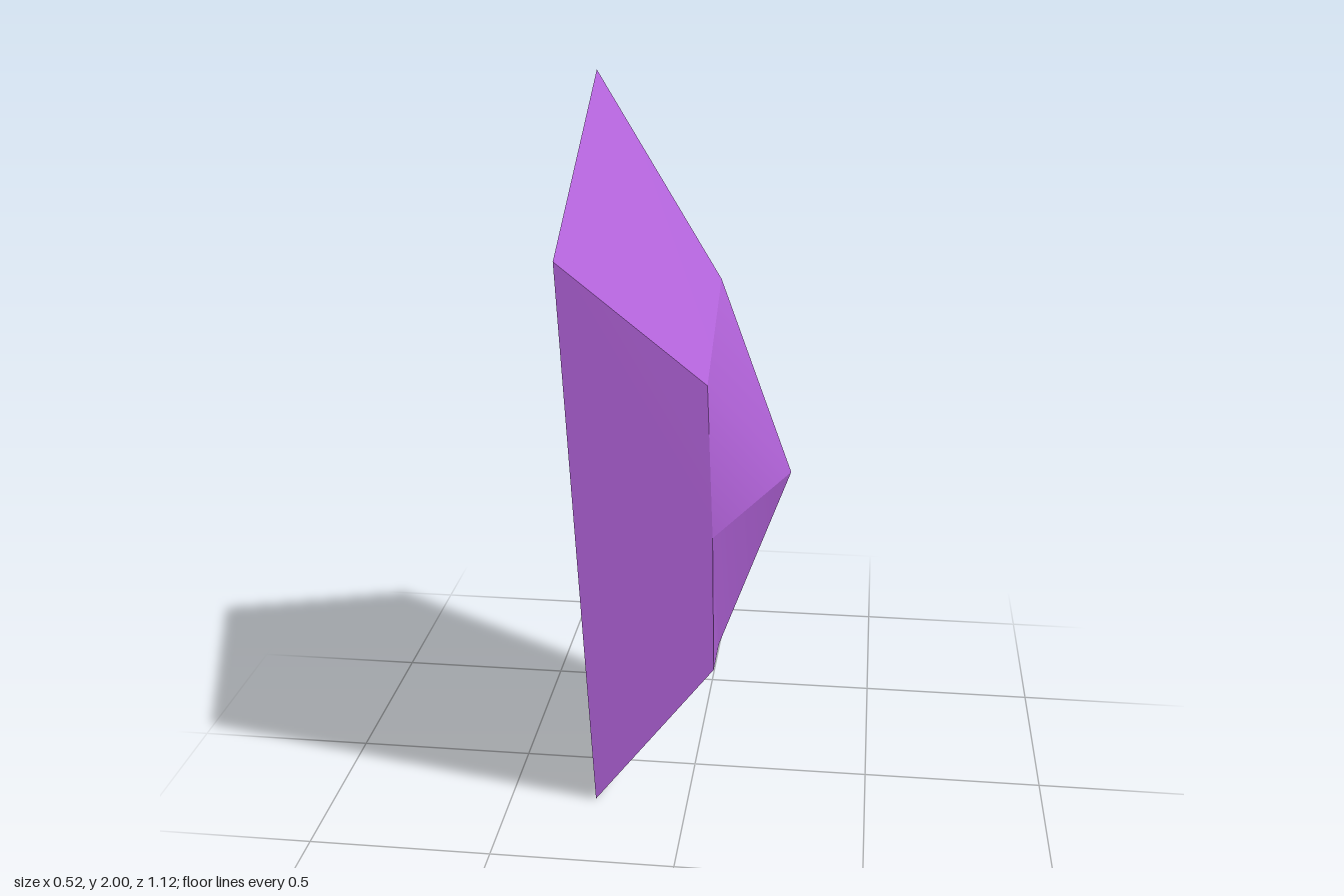
import * as THREE from 'three';
import { mergeGeometries } from 'three/addons/utils/BufferGeometryUtils.js';

// Corner points of the cut stone: [x, y, z]
const BACK = -0.26, GIRDLE = 0.063, MID = 0.068;
const P = {
  // outline of the flat back
  top: [BACK, 2, -0.07], left: [BACK, 1.66, 0.56], lowLeft: [BACK, 0, 0.21],
  lowRight: [BACK, 0, -0.48], right: [BACK, 1.21, -0.555],
  // smaller ring around the crown
  cTop: [GIRDLE, 1.46, -0.07], cLeft: [GIRDLE, 1.28, 0.28], cMidLeft: [MID, 0.82, 0.185],
  cLowLeft: [GIRDLE, 0.37, 0.09], cLow: [GIRDLE, 0.37, -0.065], cLowRight: [GIRDLE, 0.37, -0.295],
  cMidRight: [MID, 0.715, -0.31], cRight: [GIRDLE, 1.03, -0.335],
  // peak of the crown
  apex: [0.26, 0.915, -0.07],
};

// One facet as a fan from its first corner; corners run counter-clockwise
function facet(names) {
  const geometry = new THREE.BufferGeometry();
  geometry.setAttribute('position', new THREE.Float32BufferAttribute(names.flatMap((n) => P[n]), 3));
  const index = [];
  for (let i = 1; i < names.length - 1; i++) index.push(0, i, i + 1);
  geometry.setIndex(index);
  geometry.computeVertexNormals();
  return geometry;
}

export function createModel() {
  const group = new THREE.Group();
  group.name = 'crystal';
  const material = new THREE.MeshStandardMaterial({ color: 0xb464dc });

  const parts = {
    // facets around the peak
    crown: [
      ['cLeft', 'cMidLeft', 'apex', 'cTop'],
      ['cMidLeft', 'cLowLeft', 'cLow', 'apex'],
      ['apex', 'cLow', 'cLowRight', 'cMidRight'],
      ['cTop', 'apex', 'cMidRight', 'cRight'],
    ],
    // bevels between the back outline and the crown
    bevels: [
      ['top', 'left', 'cLeft', 'cTop'],
      ['cMidLeft', 'cLeft', 'left', 'lowLeft', 'cLowLeft'],
      ['cLow', 'cLowLeft', 'lowLeft', 'lowRight', 'cLowRight'],
      ['cMidRight', 'cLowRight', 'lowRight', 'right', 'cRight'],
      ['right', 'top', 'cTop', 'cRight'],
    ],
    // flat back
    flatBack: [['top', 'right', 'lowRight', 'lowLeft', 'left']],
  };

  for (const [name, facets] of Object.entries(parts)) {
    const mesh = new THREE.Mesh(mergeGeometries(facets.map(facet)), material);
    mesh.name = name;
    group.add(mesh);
  }
  return group;
}
